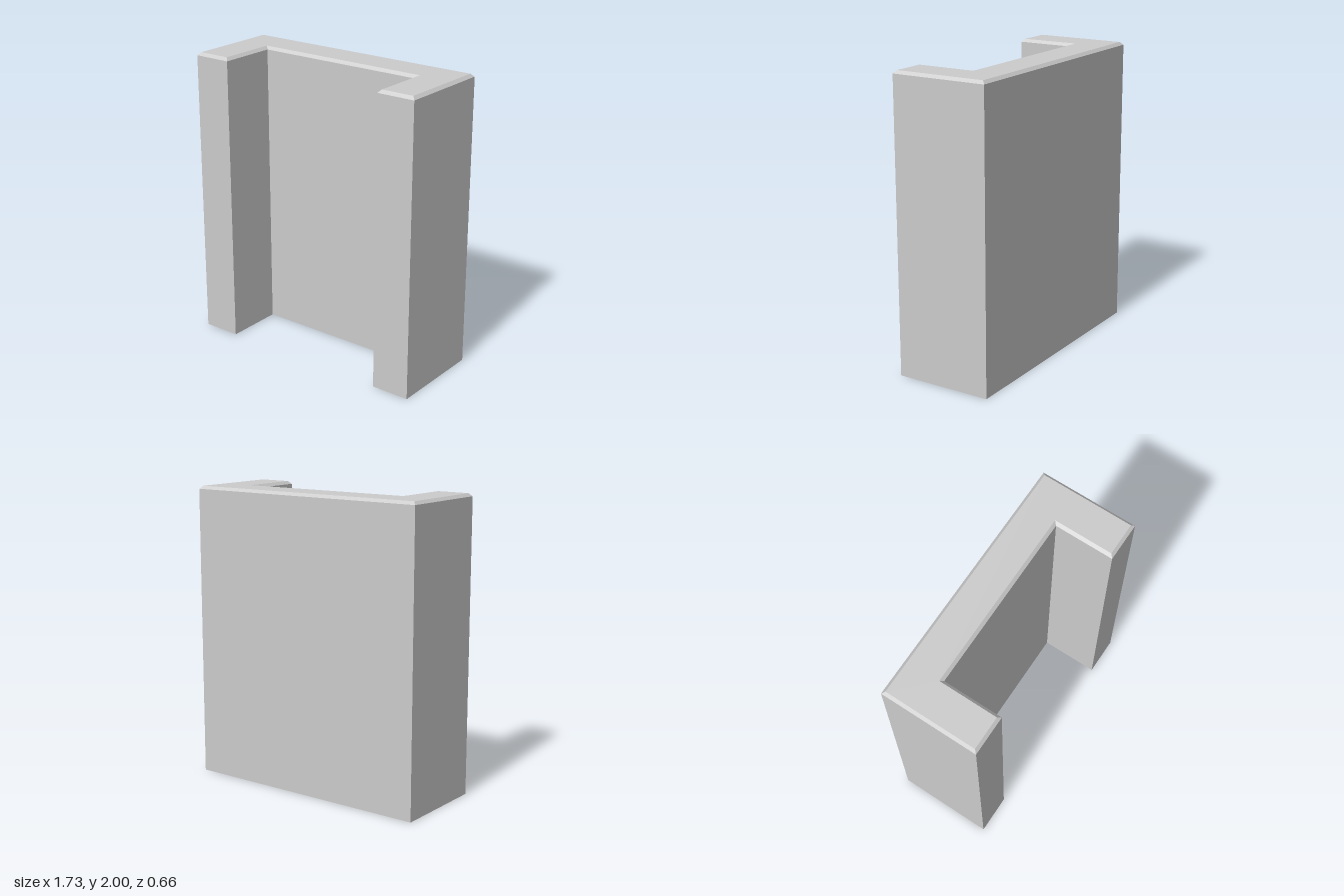
import * as THREE from 'three';

// U-shaped footprint: x, z, and the inward direction of each corner
const OUTLINE = [
  [-0.865, -0.332, 1, 1], [0.865, -0.332, -1, 1],
  [0.865, 0.332, -1, -1], [0.6, 0.332, 1, -1],
  [0.6, -0.07, 1, -1], [-0.6, -0.07, -1, -1],
  [-0.6, 0.332, -1, -1], [-0.865, 0.332, 1, -1],
];
// The back wall and two side arms of the footprint, as corner indices
const CAP_QUADS = [[0, 1, 4, 5], [1, 2, 3, 4], [0, 5, 6, 7]];
const BEVEL = 0.02;
const HEIGHT = 2;

const ring = (y, inset) =>
  OUTLINE.map(([x, z, ix, iz]) => [x + ix * inset, y, z + iz * inset]);

function wallGeometry() {
  const rings = [ring(0, 0), ring(HEIGHT - BEVEL, 0), ring(HEIGHT, BEVEL)];
  const positions = [];
  const quad = (a, b, c, d) => positions.push(...[a, b, c, a, c, d].flat());

  // Upright sides, then the chamfer around the top edge
  for (let r = 0; r < rings.length - 1; r++) {
    const low = rings[r], high = rings[r + 1];
    low.forEach((p, i) => {
      const j = (i + 1) % low.length;
      quad(p, high[i], high[j], low[j]);
    });
  }

  // Bottom and top faces
  for (const q of CAP_QUADS) {
    quad(...q.map((i) => rings[0][i]));
    quad(...[...q].reverse().map((i) => rings[2][i]));
  }

  const geometry = new THREE.BufferGeometry();
  geometry.setAttribute('position', new THREE.Float32BufferAttribute(positions, 3));
  geometry.computeVertexNormals();
  return geometry;
}

export function createModel() {
  const model = new THREE.Group();
  model.name = 'uShapedWall';
  const material = new THREE.MeshStandardMaterial({ color: 0xcccccc, flatShading: true });
  const wall = new THREE.Mesh(wallGeometry(), material);
  wall.name = 'chamferedWall';
  model.add(wall);
  return model;
}
